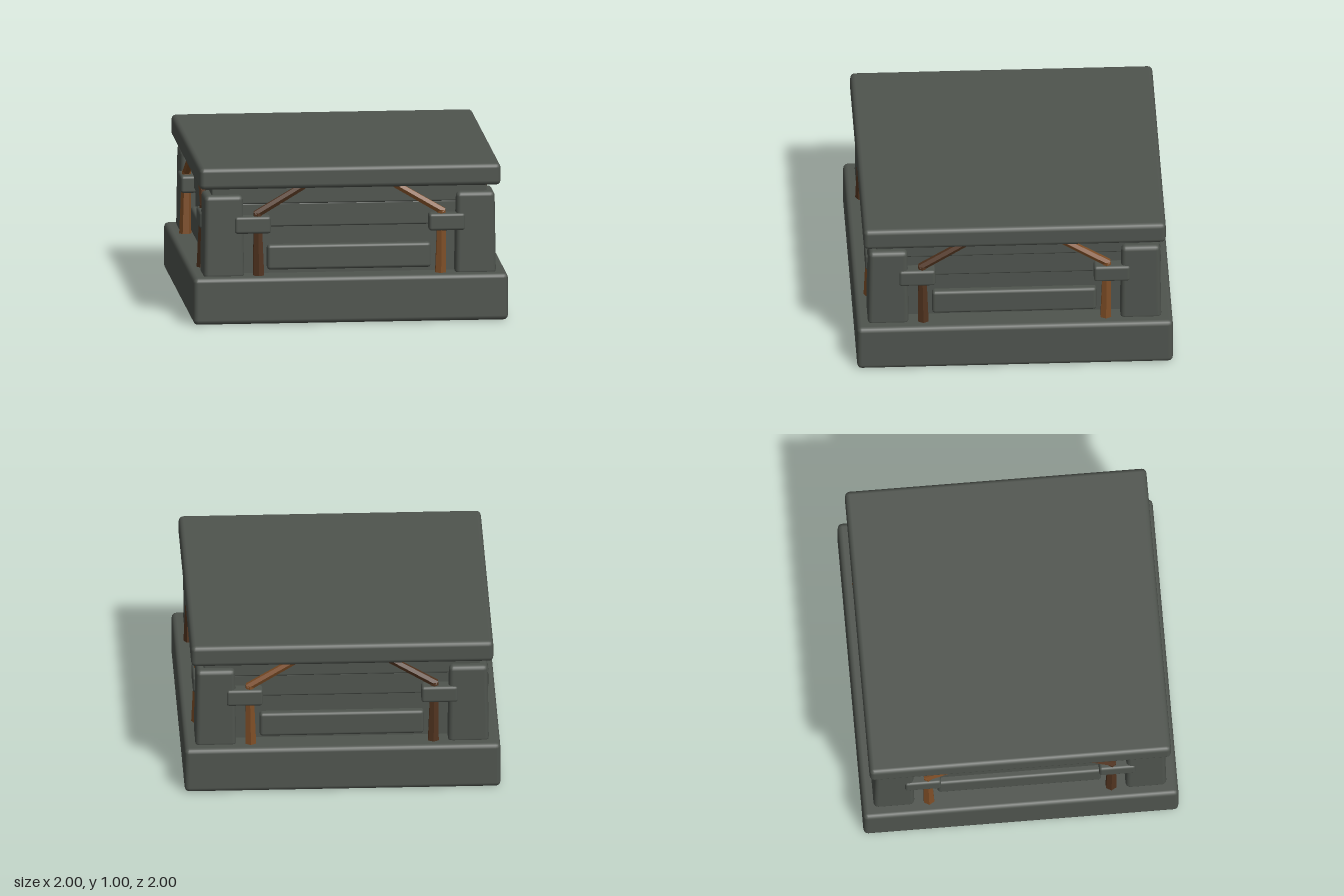
import * as THREE from 'three';
import { RoundedBoxGeometry } from 'three/addons/geometries/RoundedBoxGeometry.js';

export function createModel() {
  const model = new THREE.Group();
  model.name = 'stonePlinth';

  const stone = new THREE.MeshStandardMaterial({ color: 0x4f544e });
  stone.name = 'grey stone';
  const lightWood = new THREE.MeshStandardMaterial({ color: 0x7d4d26, flatShading: true });
  lightWood.name = 'light wood';
  const darkWood = new THREE.MeshStandardMaterial({ color: 0x50331f, flatShading: true });
  darkWood.name = 'dark wood';

  // Soft-edged stone block given by its extents
  function block(name, parent, x0, x1, y0, y1, z0, z1, radius) {
    const geo = new RoundedBoxGeometry(x1 - x0, y1 - y0, z1 - z0, 2, radius);
    const mesh = new THREE.Mesh(geo, stone);
    mesh.name = name;
    mesh.position.set((x0 + x1) / 2, (y0 + y1) / 2, (z0 + z1) / 2);
    parent.add(mesh);
    return mesh;
  }

  // Six-sided timber running from a to b
  function timber(name, parent, a, b, ra, rb, material) {
    const dir = b.clone().sub(a);
    const mesh = new THREE.Mesh(new THREE.CylinderGeometry(rb, ra, dir.length(), 6), material);
    mesh.name = name;
    mesh.position.copy(a).add(b).multiplyScalar(0.5);
    mesh.quaternion.setFromUnitVectors(new THREE.Vector3(0, 1, 0), dir.normalize());
    parent.add(mesh);
  }

  // Slabs at the bottom and the top
  block('baseSlab', model, -1, 1, 0, 0.3, -1, 1, 0.03);
  block('capSlab', model, -0.957, 0.957, 0.86, 1, -0.957, 0.957, 0.03);

  // Stacked courses of the inner wall
  block('lowerCourse', model, -0.83, 0.83, 0.28, 0.61, -0.83, 0.83, 0.01);
  block('middleCourse', model, -0.855, 0.855, 0.6, 0.755, -0.855, 0.855, 0.012);
  block('upperCourse', model, -0.875, 0.875, 0.75, 0.88, -0.875, 0.875, 0.012);

  // Corner posts, narrowing slightly upwards
  for (const sx of [-1, 1]) for (const sz of [-1, 1]) {
    const post = block('cornerPost', model, -0.13, 0.13, 0.28, 0.815, -0.13, 0.13, 0.03);
    post.position.x = sx * 0.8;
    post.position.z = sz * 0.8;
    const p = post.geometry.attributes.position;
    for (let i = 0; i < p.count; i++) {
      const k = 1 - 0.06 * (p.getY(i) / 0.535 + 0.5);
      p.setX(i, p.getX(i) * k);
      p.setZ(i, p.getZ(i) * k);
    }
  }

  // Four matching sides: raised panel, props, braces and clamps
  for (let i = 0; i < 4; i++) {
    const side = new THREE.Group();
    side.name = ['frontSide', 'rightSide', 'backSide', 'leftSide'][i];
    side.rotation.y = i * Math.PI / 2;
    model.add(side);
    block('raisedPanel', side, -0.52, 0.52, 0.325, 0.485, 0.78, 0.875, 0.02);

    for (const s of [-1, 1]) {
      const wood = (s > 0) === (i < 2) ? lightWood : darkWood;
      const foot = new THREE.Vector3(s * 0.578, 0.29, 0.903);
      const elbow = new THREE.Vector3(s * 0.585, 0.7, 0.895);
      const head = new THREE.Vector3(s * 0.29, 0.868, 0.885);
      timber('prop', side, foot, elbow, 0.039, 0.028, wood);
      timber('brace', side, elbow.clone().add(new THREE.Vector3(s * 0.012, -0.012, 0)), head, 0.026, 0.024, wood);
      const x = s * 0.617;
      block('clamp', side, x - 0.115, x + 0.115, 0.57, 0.68, 0.84, 0.937, 0.018);
    }
  }
  return model;
}
